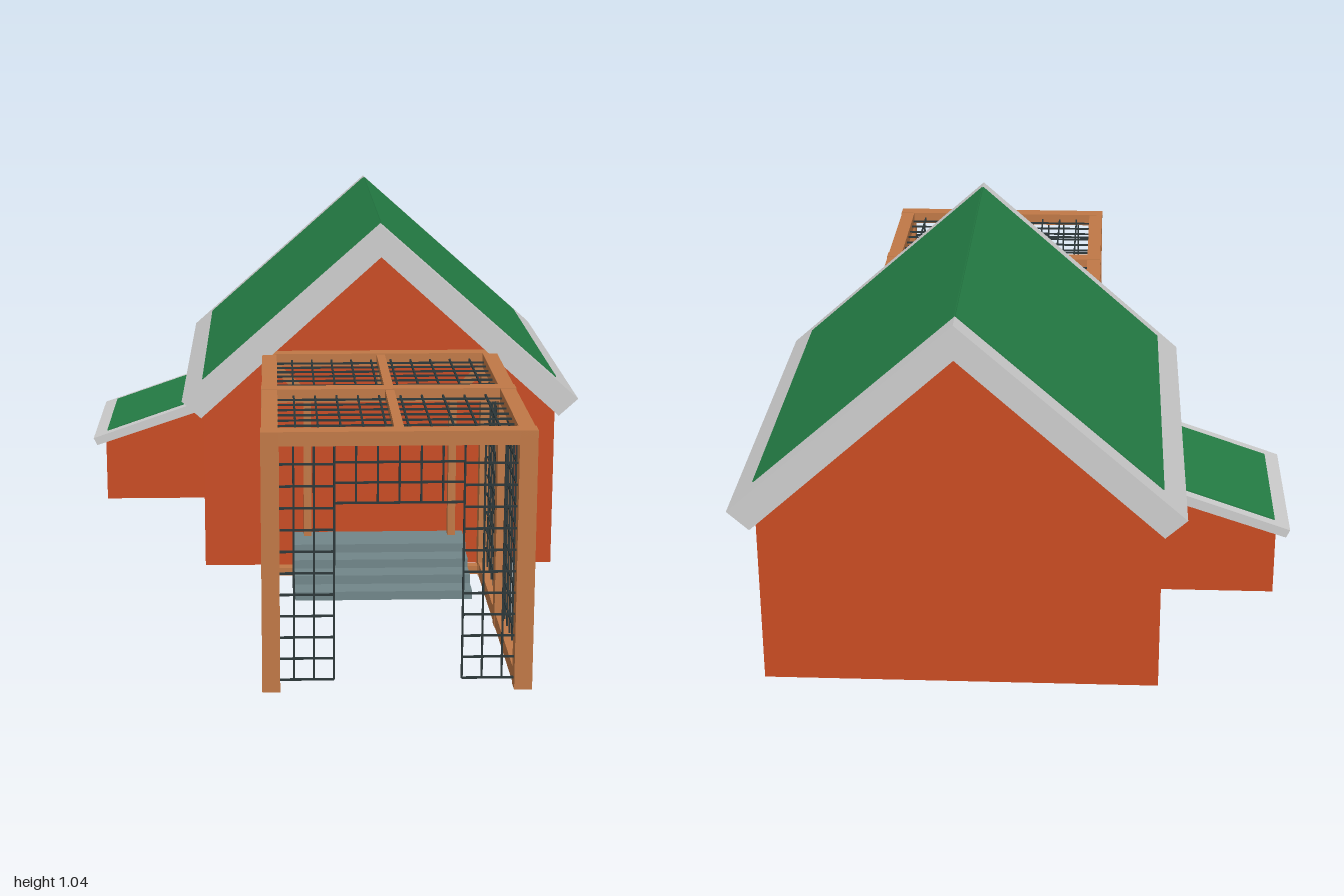
import * as THREE from 'three';
import { mergeGeometries } from 'three/addons/utils/BufferGeometryUtils.js';

const mat = (name, color) => {
  const m = new THREE.MeshStandardMaterial({ color });
  m.name = name;
  return m;
};

export function createModel() {
  const red = mat('red paint', 0xc84b22);
  const grey = mat('roof grey', 0xcccccc);
  const green = mat('roof green', 0x247d45);
  const wood = mat('timber', 0xbf7846);
  const slate = mat('step slate', 0x718689);
  const wire = mat('wire', 0x2b3638);

  const root = new THREE.Group();
  root.name = 'henHouse';
  const add = (parent, name, geo, material) => {
    const m = new THREE.Mesh(geo, material);
    m.name = name;
    parent.add(m);
    return m;
  };
  const group = (name) => {
    const g = new THREE.Group();
    g.name = name;
    root.add(g);
    return g;
  };
  // Box given by its minimum and maximum corners
  const span = (x0, x1, y0, y1, z0, z1) =>
    new THREE.BoxGeometry(x1 - x0, y1 - y0, z1 - z0)
      .translate((x0 + x1) / 2, (y0 + y1) / 2, (z0 + z1) / 2);
  const poly = (pts) => new THREE.Shape(pts.map(([x, y]) => new THREE.Vector2(x, y)));
  // Outline in x,y pushed from z0 to z1
  const alongZ = (shape, z0, z1) =>
    new THREE.ExtrudeGeometry(shape, { depth: z1 - z0, bevelEnabled: false }).translate(0, 0, z0);
  // Outline in z,y pushed from x0 to x1
  const alongX = (shape, x0, x1) =>
    new THREE.ExtrudeGeometry(shape, { depth: x1 - x0, bevelEnabled: false, curveSegments: 10 })
      .rotateY(-Math.PI / 2).translate(x1, 0, 0);

  // House shell: gable ends, side walls and lining under the roof
  const CX = 0.14, X0 = -0.37, X1 = 0.65, Z0 = -0.94, Z1 = 0.07, T = 0.045, B = 0.035;
  const house = group('house');
  const gable = poly([[X0, B], [X1, B], [X1, 0.5], [CX, 0.96], [X0, 0.5]]);
  add(house, 'frontWall', alongZ(gable, Z1 - T, Z1), red);
  add(house, 'backWall', alongZ(gable, Z0, Z0 + T), red);
  const lining = poly([[X0, 0.46], [CX, 0.92], [X1, 0.46], [X1, 0.5], [CX, 0.96], [X0, 0.5]]);
  add(house, 'ceiling', alongZ(lining, Z0 + T, Z1 - T), red);

  // Right wall has an arched doorway open at the bottom
  const za = Z0 + T, zb = Z1 - T;
  const arch = poly([[za, B], [-0.625, B], [-0.625, 0.25]]);
  arch.absarc(-0.4325, 0.25, 0.1925, Math.PI, 0, true);
  [[-0.24, B], [zb, B], [zb, 0.5], [za, 0.5]].forEach(([z, y]) => arch.lineTo(z, y));
  add(house, 'archWall', alongX(arch, X1 - T, X1), red);

  // Left wall opens into the nest box
  const nestWall = poly([[za, B], [zb, B], [zb, 0.5], [za, 0.5]]);
  nestWall.holes.push(poly([[-0.62, 0.19], [-0.62, 0.43], [-0.26, 0.43], [-0.26, 0.19]]));
  add(house, 'nestWall', alongX(nestWall, X0, X0 + T), red);

  // Main roof and its green panels
  const roof = group('roof');
  const chevron = poly([[-0.375, 0.495], [CX, 0.96], [0.655, 0.495], [0.71, 0.545],
    [CX, 1.05], [-0.43, 0.545]]);
  add(roof, 'roofSlab', alongZ(chevron, -1, 0.12), grey);
  const panelOn = (parent, name, a, b, z0, z1) => {
    const dx = b[0] - a[0], dy = b[1] - a[1], len = Math.hypot(dx, dy);
    const p = add(parent, name, new THREE.BoxGeometry(len, 0.006, z1 - z0), green);
    p.position.set((a[0] + b[0]) / 2, (a[1] + b[1]) / 2, (z0 + z1) / 2);
    p.rotation.z = Math.atan2(dy, dx);
  };
  panelOn(roof, 'leftRoofPanel', [CX, 1.05], [X1, 0.598], Z0, Z1);
  panelOn(roof, 'rightRoofPanel', [X0, 0.598], [CX, 1.05], Z0, Z1);

  // Hollow nest box on the side with a lean-to roof
  const nest = group('nestBox');
  const cheek = poly([[-0.68, 0.15], [X0, 0.15], [X0, 0.44], [-0.68, 0.335]]);
  add(nest, 'nestBackSide', alongZ(cheek, -0.64, -0.62), red);
  add(nest, 'nestFrontSide', alongZ(cheek, -0.26, -0.24), red);
  add(nest, 'nestFloor', span(-0.68, X0, 0.15, 0.17, -0.62, -0.26), red);
  add(nest, 'nestOuterWall', span(-0.68, -0.66, 0.17, 0.335, -0.62, -0.26), red);
  add(nest, 'nestCeiling', alongZ(poly([[-0.66, 0.332], [X0, 0.43], [X0, 0.44], [-0.66, 0.342]]),
    -0.62, -0.26), red);
  add(nest, 'nestRoof', alongZ(poly([[-0.705, 0.33], [X0, 0.442], [X0, 0.472], [-0.715, 0.352]]),
    -0.67, -0.205), grey);
  panelOn(nest, 'nestRoofPanel', [-0.675, 0.366], [X0, 0.472], -0.64, -0.24);

  // Timber frame of the run
  const run = group('run');
  const L = -0.2, R = 0.475, W = 0.045, ZF = 0.985, ZB = 0.07;
  const timbers = [];
  for (const x of [L, R - W]) {
    for (const z of [ZB, 0.5, ZF - W]) timbers.push(span(x, x + W, 0.01, 0.68, z, z + W));
    for (const y of [0.01, 0.64]) timbers.push(span(x + 0.002, x + W - 0.002, y, y + 0.04, ZB, ZF - 0.002));
  }
  for (const z of [ZB, 0.5, ZF - W]) timbers.push(span(L, R, 0.645, 0.681, z, z + W));
  timbers.push(span(CX - 0.012, CX + 0.012, 0.65, 0.678, ZB, ZF));
  add(run, 'runFrame', mergeGeometries(timbers), wood);

  // Inner door frame against the house, with corner braces
  const bar = (a, b, w) => {
    const dx = b[0] - a[0], dy = b[1] - a[1];
    return new THREE.BoxGeometry(Math.hypot(dx, dy), w, 0.03)
      .rotateZ(Math.atan2(dy, dx)).translate((a[0] + b[0]) / 2, (a[1] + b[1]) / 2, 0.095);
  };
  const inner = [bar([-0.075, 0.547], [0.365, 0.547], 0.02), bar([CX, 0.55], [CX, 0.65], 0.016)];
  for (const s of [-1, 1]) {
    inner.push(bar([CX + s * 0.21, 0.02], [CX + s * 0.21, 0.55], 0.022));
    inner.push(bar([CX + s * 0.205, 0.547], [CX + s * 0.305, 0.645], 0.02));
    inner.push(bar([CX + s * 0.195, 0.026], [CX + s * 0.33, 0.026], 0.024));
  }
  add(run, 'doorFrame', mergeGeometries(inner), wood);

  // Wire netting: a grid of thin rods in the x,y plane, turned into place
  const GAP = 0.055, D = 0.0025;
  const net = (u0, u1, v0, v1) => {
    const rods = [];
    const nu = Math.round((u1 - u0) / GAP), nv = Math.round((v1 - v0) / GAP);
    for (let i = 0; i <= nu; i++) {
      const u = u0 + (u1 - u0) * i / nu;
      rods.push(span(u - D, u + D, v0, v1, -D, D));
    }
    for (let j = 0; j <= nv; j++) {
      const v = v0 + (v1 - v0) * j / nv;
      rods.push(span(u0, u1, v - D, v + D, -D, D));
    }
    return mergeGeometries(rods);
  };
  for (const [name, x] of [['leftNet', 0.453], ['rightNet', -0.178]]) {
    add(run, name, net(0.1, 0.96, 0.04, 0.65).rotateY(-Math.PI / 2).translate(x, 0, 0), wire);
  }
  add(run, 'topNet', net(-0.17, 0.45, 0.1, 0.96).rotateX(Math.PI / 2).translate(0, 0.662, 0), wire);
  const front = [net(-0.17, -0.02, 0.035, 0.65), net(0.3, 0.45, 0.035, 0.65), net(-0.02, 0.3, 0.495, 0.65)];
  add(run, 'frontNet', mergeGeometries(front).translate(0, 0, 0.963), wire);

  // Low steps up to the house
  const steps = group('steps');
  for (let i = 0; i < 4; i++) {
    add(steps, 'step', span(-0.11, 0.385, 0.035 + i * 0.025, 0.06 + i * 0.025, 0.07, 0.385 - i * 0.065), slate);
  }
  return root;
}
